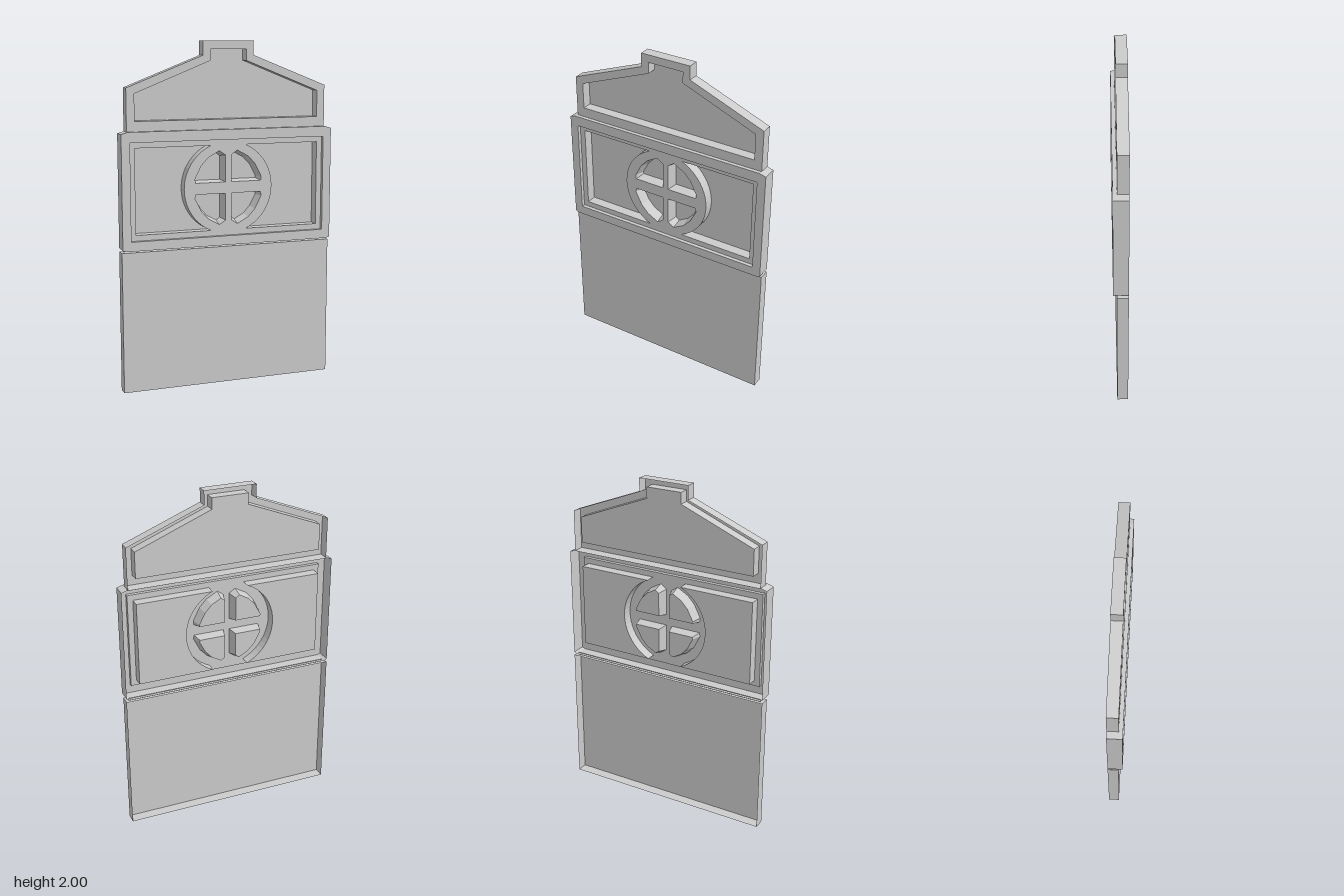
import * as THREE from 'three';

const BACK = -0.044, FLOOR = -0.04, FRONT = 0.02, FRAME = 0.042;
const CY = 1.165; // height of the medallion centre

const material = new THREE.MeshStandardMaterial({
  color: 0xcccccc, flatShading: true, side: THREE.DoubleSide,
});

const v = (list) => list.map(([x, y]) => new THREE.Vector2(x, y));
const mirrorX = (list) => list.map(([x, y]) => [-x, y]).reverse();
const mirrorY = (list) => list.map(([x, y]) => [x, 2 * CY - y]).reverse();
const symmetric = (half) => [...half, ...mirrorX(half)];

function addMesh(group, geometry, name) {
  const mesh = new THREE.Mesh(geometry, material);
  mesh.name = name;
  group.add(mesh);
}

// Flat face at depth z, with optional openings
function face(group, name, outline, z, holes = []) {
  const shape = new THREE.Shape(v(outline));
  holes.forEach((h) => shape.holes.push(new THREE.Path(v(h))));
  addMesh(group, new THREE.ShapeGeometry(shape).translate(0, 0, z), name);
}

// Wall joining one closed outline at z0 to a matching outline at z1
function wall(group, name, a, z0, z1, b = a) {
  const pos = [];
  a.forEach((p, i) => {
    const j = (i + 1) % a.length;
    const q = a[j], r = b[j], s = b[i];
    pos.push(...p, z0, ...s, z1, ...r, z1, ...p, z0, ...r, z1, ...q, z0);
  });
  const g = new THREE.BufferGeometry();
  g.setAttribute('position', new THREE.Float32BufferAttribute(pos, 3));
  g.computeVertexNormals();
  addMesh(group, g, name);
}

// Closed pocket running from the front surface to its floor
function pocket(group, name, outline, z, floorOutline = outline) {
  wall(group, name + 'Wall', outline, z, FLOOR, floorOutline);
  face(group, name + 'Floor', floorOutline, FLOOR);
}

export function createModel() {
  const model = new THREE.Group();
  const part = (name) => {
    const g = new THREE.Group();
    g.name = name;
    model.add(g);
    return g;
  };

  // Plain lower panel, hollow at the back
  const lower = part('lowerPanel');
  const lowerOutline = symmetric([[0.637, 0], [0.637, 0.82]]);
  face(lower, 'lowerFace', lowerOutline, FRONT);
  wall(lower, 'lowerRim', lowerOutline, FRONT, BACK);

  // Narrow strip joining the lower panel to the frame
  face(part('joint'), 'jointStrip', symmetric([[0.62, 0.82], [0.62, 0.835]]), -0.025);

  // Stepped gable with a sunken field
  const gable = part('gable');
  const gableOutline = symmetric([[0.6, 1.5], [0.6, 1.745], [0.153, 1.92], [0.153, 2]]);
  const gableField = symmetric([[0.553, 1.56], [0.553, 1.713], [0.108, 1.89], [0.108, 1.955]]);
  face(gable, 'gableFace', gableOutline, FRONT, [gableField]);
  wall(gable, 'gableRim', gableOutline, FRONT, BACK);
  pocket(gable, 'gableField', gableField, FRONT);

  // Raised middle frame with clipped corners
  const frame = part('middleFrame');
  const frameOutline = symmetric([[0.62, 0.832], [0.637, 0.84], [0.637, 1.492], [0.6, 1.503]]);
  const frameInner = symmetric([[0.587, 0.886], [0.587, 1.444]]);
  face(frame, 'frameFace', frameOutline, FRAME, [frameInner]);
  wall(frame, 'frameRim', frameOutline, FRAME, BACK);
  wall(frame, 'frameStep', frameInner, FRAME, FRONT);

  // Side field: a rectangle cut by the round medallion
  const R = 0.268, top = 1.411, half = Math.asin((top - CY) / R);
  const field = [[0.555, 2 * CY - top], [0.555, top]];
  for (let i = 0; i <= 20; i++) {
    const a = half - (2 * half * i) / 20;
    field.push([R * Math.cos(a), CY + R * Math.sin(a)]);
  }

  // One window quarter, tapering slightly towards its floor
  const pane = [[0.018, 1.198], [0.2, 1.198], [0.203, 1.222], [0.165, 1.297],
    [0.122, 1.343], [0.055, 1.38], [0.018, 1.355]];
  const paneFloor = [[0.034, 1.207], [0.187, 1.207], [0.189, 1.22], [0.153, 1.288],
    [0.113, 1.331], [0.057, 1.362], [0.034, 1.346]];

  const fields = [field, mirrorX(field)];
  const panes = [pane, mirrorX(pane), mirrorY(pane), mirrorX(mirrorY(pane))];
  const paneFloors = [paneFloor, mirrorX(paneFloor), mirrorY(paneFloor), mirrorX(mirrorY(paneFloor))];

  // Ledge and medallion share one surface, pierced by fields and windows
  const medallion = part('medallionPanel');
  face(medallion, 'medallionFace', frameInner, FRONT, [...fields, ...panes]);
  fields.forEach((f) => pocket(medallion, 'sideField', f, FRONT));
  panes.forEach((p, i) => pocket(medallion, 'window', p, FRONT, paneFloors[i]));

  return model;
}
